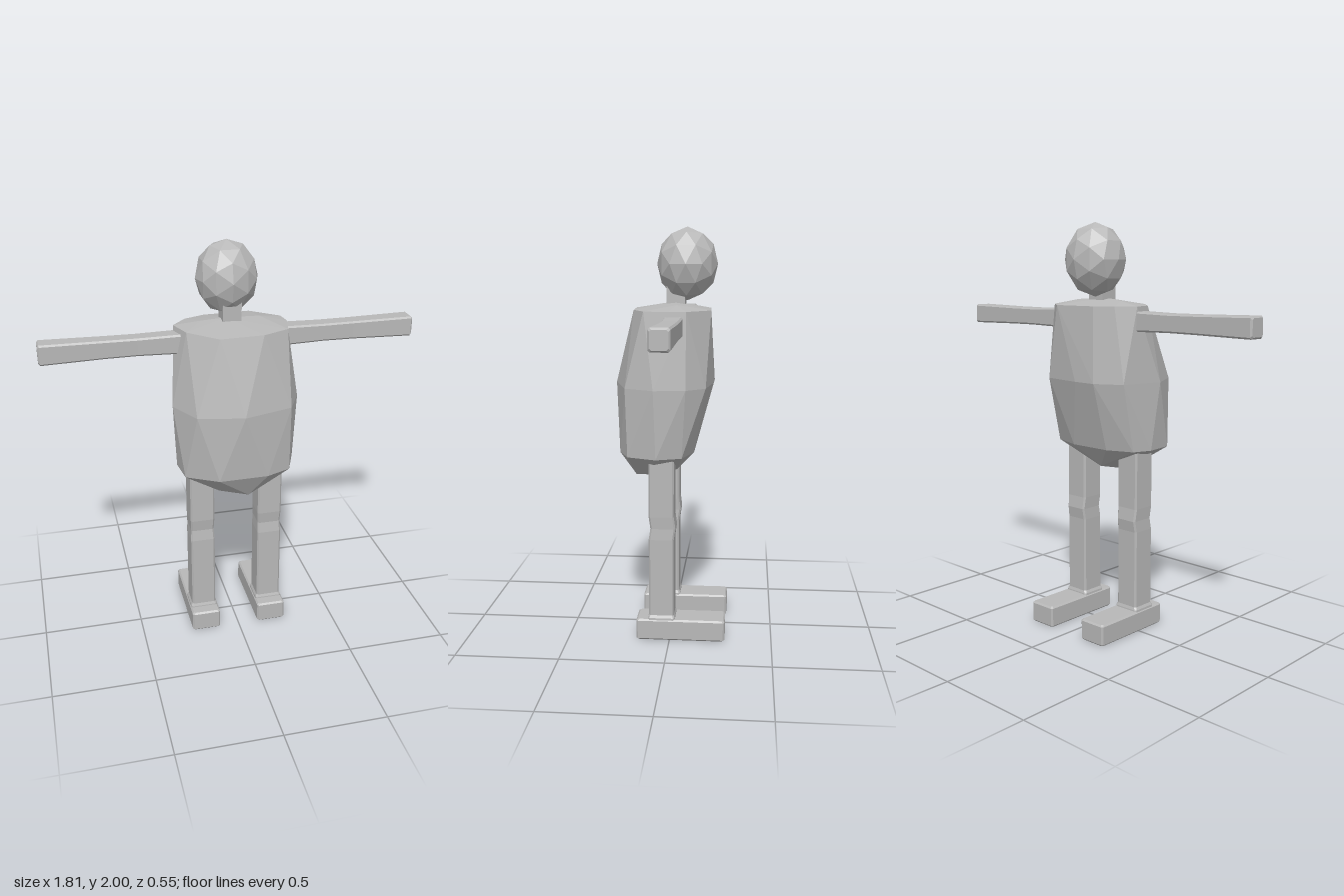
import * as THREE from 'three';
import { ConvexGeometry } from 'three/addons/geometries/ConvexGeometry.js';

const BEVEL = 0.008;

// Chamfered rectangular bar along +y; each section is [y, centreX, centreZ, width, depth]
function bar(sections) {
  const inset = ([y, cx, cz, w, d], dy) => [y + dy, cx, cz, w - 2 * BEVEL, d - 2 * BEVEL];
  const first = sections[0], last = sections[sections.length - 1];
  const rows = [inset(first, -BEVEL), ...sections, inset(last, BEVEL)];
  const rings = rows.map(([y, cx, cz, w, d]) => {
    const a = w / 2, b = d / 2, c = BEVEL;
    return [[a, b - c], [a - c, b], [c - a, b], [-a, b - c], [-a, c - b], [c - a, -b], [a - c, -b], [a, c - b]]
      .map(([x, z]) => [cx + x, y, cz + z]);
  });
  const pos = [];
  const tri = (p, q, r) => pos.push(...p, ...q, ...r);
  const n = 8, end = rings.length - 1;
  for (let i = 0; i < end; i++) {
    for (let j = 0; j < n; j++) {
      const k = (j + 1) % n, lo = rings[i], hi = rings[i + 1];
      tri(lo[j], hi[j], hi[k]);
      tri(lo[j], hi[k], lo[k]);
    }
  }
  for (let j = 1; j < n - 1; j++) {
    tri(rings[0][0], rings[0][j], rings[0][j + 1]);
    tri(rings[end][0], rings[end][j + 1], rings[end][j]);
  }
  // rings run clockwise seen from above, so flip every triangle outward
  for (let i = 0; i < pos.length; i += 9) {
    for (let c = 0; c < 3; c++) [pos[i + 3 + c], pos[i + 6 + c]] = [pos[i + 6 + c], pos[i + 3 + c]];
  }
  const g = new THREE.BufferGeometry();
  g.setAttribute('position', new THREE.Float32BufferAttribute(pos, 3));
  g.computeVertexNormals();
  return outward(g);
}

// Makes sure the faces of a closed geometry point outward (positive volume)
function outward(g) {
  const p = g.attributes.position;
  const a = new THREE.Vector3(), b = new THREE.Vector3(), c = new THREE.Vector3();
  let volume = 0;
  for (let i = 0; i < p.count; i += 3) {
    a.fromBufferAttribute(p, i);
    b.fromBufferAttribute(p, i + 1);
    c.fromBufferAttribute(p, i + 2);
    volume += a.dot(b.cross(c));
  }
  if (volume < 0) {
    for (let i = 0; i < p.count; i += 3) {
      b.fromBufferAttribute(p, i + 1);
      c.fromBufferAttribute(p, i + 2);
      p.setXYZ(i + 1, c.x, c.y, c.z);
      p.setXYZ(i + 2, b.x, b.y, b.z);
    }
    g.computeVertexNormals();
  }
  return g;
}

// Faceted body: a hull around three uneven rings plus top and bottom points
function torsoGeometry() {
  const rings = [
    [1.61, [[-0.27, -0.06], [-0.23, 0.06], [-0.1, 0.19], [0.11, 0.18], [0.24, 0.12],
      [0.27, 0], [0.26, -0.08], [0.13, -0.19], [-0.1, -0.18], [-0.2, -0.14]]],
    [1.25, [[-0.305, 0.07], [-0.22, 0.235], [0, 0.28], [0.24, 0.21], [0.31, 0.07],
      [0.29, -0.08], [0.21, -0.17], [0, -0.2], [-0.12, -0.2], [-0.25, -0.13]]],
    [0.92, [[-0.285, 0.03], [-0.27, 0.17], [-0.12, 0.255], [0.12, 0.25], [0.24, 0.2],
      [0.295, 0.06], [0.25, -0.06], [0.1, -0.11], [-0.12, -0.11], [-0.25, -0.06]]],
  ];
  const points = rings.flatMap(([y, ring]) => ring.map(([x, z]) => new THREE.Vector3(x, y, z)));
  const caps = [[-0.02, 1.645, -0.01], [0.14, 1.635, -0.03], [-0.14, 1.632, -0.03],
    [0, 0.78, 0.11], [0.04, 0.79, 0.18], [-0.1, 0.815, 0.15], [0.13, 0.82, 0.1], [0, 0.81, -0.02]];
  caps.forEach((c) => points.push(new THREE.Vector3(...c)));
  return new ConvexGeometry(points);
}

export function createModel() {
  const model = new THREE.Group();
  model.name = 'figure';
  const grey = new THREE.MeshStandardMaterial({ color: 0xb8b8b8, flatShading: true });
  grey.name = 'plain grey';

  const add = (name, geometry) => {
    const mesh = new THREE.Mesh(geometry, grey);
    mesh.name = name;
    model.add(mesh);
    return mesh;
  };

  add('torso', torsoGeometry());
  add('neck', new THREE.BoxGeometry(0.09, 0.16, 0.09)).position.set(-0.005, 1.67, -0.015);

  const head = add('head', new THREE.IcosahedronGeometry(1, 1));
  head.scale.set(0.15, 0.175, 0.147);
  head.position.set(-0.01, 1.825, -0.068);

  for (const [side, s] of [['left', 1], ['right', -1]]) {
    // Arm: bar laid sideways, slightly thinner at the elbow
    const arm = add(side + 'Arm', bar([
      [0.2, 0, -0.02, 0.096, 0.09], [0.45, 0, -0.023, 0.086, 0.084],
      [0.6, 0, -0.023, 0.088, 0.084], [0.897, 0, -0.018, 0.098, 0.092]]));
    arm.rotation.z = -s * Math.PI / 2;
    arm.position.y = 1.54;

    // Leg with a bent, narrower knee and a small ankle flare
    const x = s * 0.174;
    add(side + 'Leg', bar([
      [0.09, x, 0.04, 0.14, 0.136], [0.112, x, 0.04, 0.136, 0.132], [0.125, x, 0.04, 0.122, 0.122],
      [0.51, x, 0.04, 0.122, 0.122], [0.565, x, 0.032, 0.116, 0.122],
      [0.625, x, 0.04, 0.122, 0.122], [0.93, x, 0.04, 0.122, 0.122]]));

    // Foot: long block reaching backward
    add(side + 'Foot', bar([
      [BEVEL, x, -0.054, 0.146, 0.435], [0.098, x, -0.054, 0.146, 0.435]]));
  }
  return model;
}
